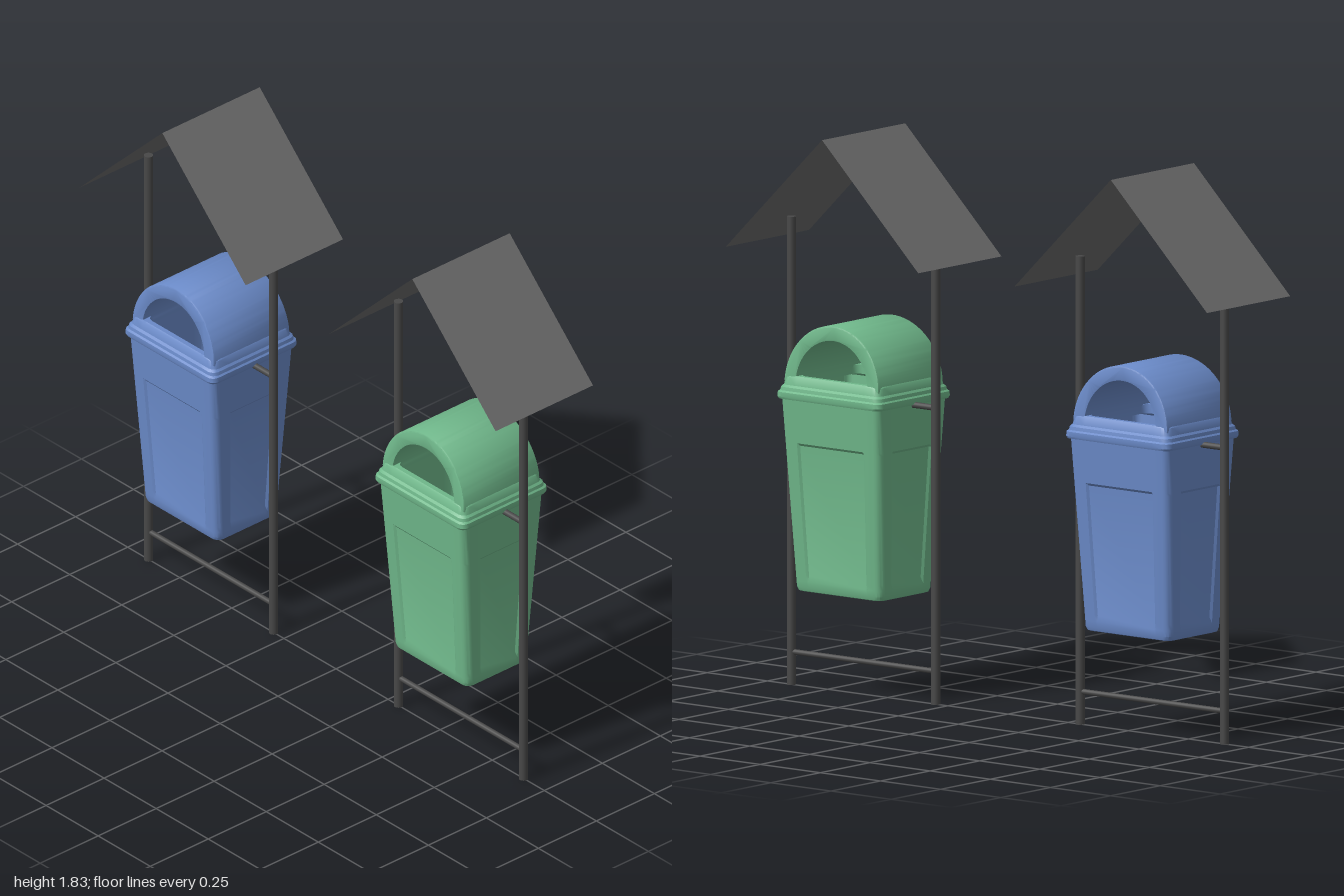
import * as THREE from 'three';
import { toCreasedNormals } from 'three/addons/utils/BufferGeometryUtils.js';

const mat = (color, side = THREE.FrontSide) => new THREE.MeshStandardMaterial({ color, side });

function addMesh(parent, name, geometry, material) {
  const mesh = new THREE.Mesh(geometry, material);
  mesh.name = name;
  parent.add(mesh);
  return mesh;
}

// Rounded rectangle at height y, with an optional shallow notch in each side
function ring(y, hx, hz, dent = 0) {
  const pts = [], r = Math.min(0.025, hx * 0.2);
  for (let k = 0; k < 4; k++) {
    const sx = k === 0 || k === 3 ? 1 : -1, sz = k < 2 ? 1 : -1;
    for (let i = 0; i <= 4; i++) {
      const a = (k + i / 4) * Math.PI / 2;
      pts.push([sx * (hx - r) + r * Math.cos(a), y, sz * (hz - r) + r * Math.sin(a)]);
    }
    const w = k % 2 ? hz * 0.7 : hx * 0.6;
    for (const [u, d] of [[w, 0], [w - 0.008, dent], [0.008 - w, dent], [-w, 0]]) {
      if (k === 0) pts.push([u, y, hz - d]);
      if (k === 1) pts.push([d - hx, y, u]);
      if (k === 2) pts.push([-u, y, d - hz]);
      if (k === 3) pts.push([hx - d, y, -u]);
    }
  }
  return pts;
}

function loft(sections) {
  const rings = sections.map((s) => ring(...s)), pos = [];
  for (let i = 0; i < rings.length - 1; i++) {
    const lo = rings[i], hi = rings[i + 1], n = lo.length;
    for (let j = 0; j < n; j++) {
      const k = (j + 1) % n;
      pos.push(...lo[j], ...hi[j], ...hi[k], ...lo[j], ...hi[k], ...lo[k]);
    }
  }
  const g = new THREE.BufferGeometry();
  g.setAttribute('position', new THREE.Float32BufferAttribute(pos, 3));
  return toCreasedNormals(g, 0.5);
}

// Tapered, hollow bin with recessed side panels, lipped rim and arched hood
function createBin(color) {
  const bin = new THREE.Group(), plastic = mat(color);
  const wall = (y, dent = 0) => {
    const t = (y - 0.35) / 0.61;
    return [y, 0.134 + 0.041 * t, 0.18 + 0.027 * t, dent];
  };
  addMesh(bin, 'binBody', loft([
    [0.335, 0.001, 0.001], [0.335, 0.122, 0.168], [0.338, 0.13, 0.176],
    wall(0.35), wall(0.37), wall(0.39, 0.006), wall(0.815, 0.006), wall(0.823), wall(0.965),
    // rim and shoulder
    [0.965, 0.185, 0.214], [0.972, 0.188, 0.217], [0.987, 0.187, 0.216], [0.992, 0.181, 0.211],
    [1.003, 0.179, 0.209], [1.01, 0.172, 0.203], [1.035, 0.166, 0.198], [1.04, 0.162, 0.194],
    // mouth and interior
    [1.04, 0.145, 0.147], [1.01, 0.145, 0.147], [1.0, 0.165, 0.197],
    [0.36, 0.124, 0.17], [0.35, 0.001, 0.001],
  ]), plastic);

  const arch = new THREE.Shape();
  arch.moveTo(0.196, 0);
  arch.absarc(0, 0, 0.196, 0, Math.PI, false);
  arch.lineTo(-0.147, 0);
  arch.absarc(0, 0, 0.147, Math.PI, 0, true);
  arch.closePath();
  const bevel = 0.006;
  const hood = new THREE.ExtrudeGeometry(arch, {
    depth: 0.33 - 2 * bevel, curveSegments: 32, bevelSize: bevel, bevelThickness: bevel,
    bevelOffset: -bevel, bevelSegments: 2,
  });
  hood.translate(0, 0, -0.165 + bevel).rotateY(Math.PI / 2);
  // Ends lean inward toward the top
  const p = hood.attributes.position;
  for (let i = 0; i < p.count; i++) p.setX(i, p.getX(i) * (1 - 0.45 * p.getY(i)));
  hood.translate(0, 1.02, 0);
  addMesh(bin, 'hood', toCreasedNormals(hood, 0.5), plastic);
  return bin;
}

// Two posts, cross bar, bin brackets and a pitched sheet roof
function createStand() {
  const stand = new THREE.Group(), metal = mat(0x484848);
  const sheet = mat(0x6a6a6a, THREE.DoubleSide);
  const bar = (r, length) => new THREE.CylinderGeometry(r, r, length, 16);

  const crossBar = addMesh(stand, 'crossBar', bar(0.009, 0.6), metal);
  crossBar.position.y = 0.107;
  crossBar.rotation.x = Math.PI / 2;

  for (const s of [1, -1]) {
    addMesh(stand, 'post', bar(0.015, 1.523), metal).position.set(0, 0.7615, s * 0.3);
    const bracket = addMesh(stand, 'bracket', bar(0.01, 0.1), metal);
    bracket.position.set(0, 0.964, s * 0.25);
    bracket.rotation.x = Math.PI / 2;

    const panel = new THREE.PlaneGeometry(0.42, Math.hypot(0.39, 0.4));
    panel.rotateX(-Math.atan2(0.4, 0.39)).translate(0, 1.635, 0.2);
    if (s < 0) panel.rotateY(Math.PI);
    addMesh(stand, 'roofPanel', panel, sheet);
  }
  return stand;
}

export function createModel() {
  const model = new THREE.Group();
  model.name = 'litterBins';
  for (const [name, color, z] of [['greenBin', 0x6fb78a, 0.6], ['blueBin', 0x6a8ac8, -0.6]]) {
    const unit = new THREE.Group();
    unit.name = name + 'Unit';
    const bin = createBin(color), stand = createStand();
    bin.name = name;
    stand.name = 'stand';
    unit.add(bin, stand);
    unit.position.z = z;
    model.add(unit);
  }
  return model;
}
